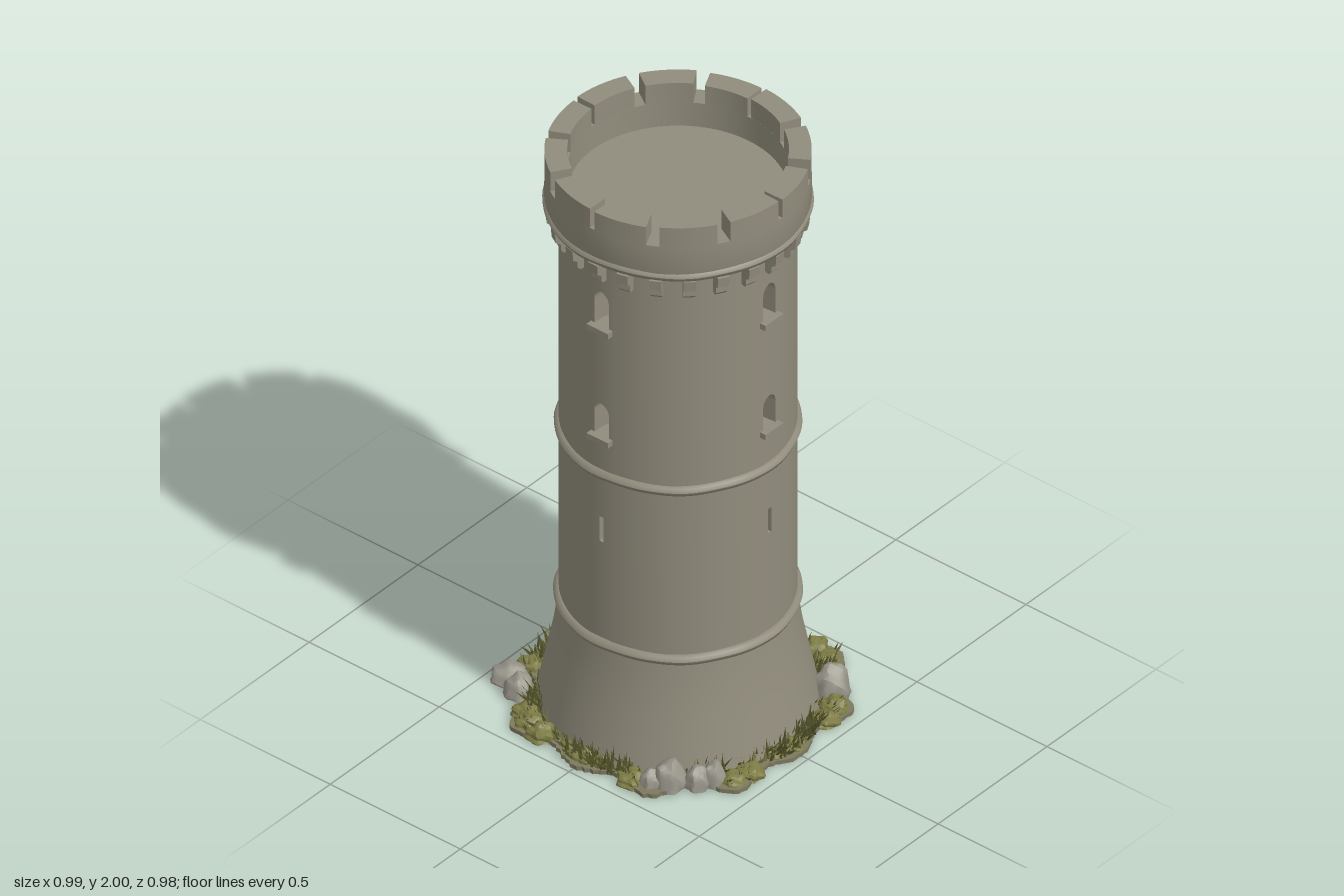
import * as THREE from 'three';
import { mergeGeometries, toCreasedNormals } from 'three/addons/utils/BufferGeometryUtils.js';

const R_OUT = 0.352, R_IN = 0.3, PANEL = 0.12; // wall radii, half angle of a window panel

export function createModel() {
  const tower = new THREE.Group();
  tower.name = 'tower';
  const mat = (name, color) => Object.assign(new THREE.MeshStandardMaterial({ color }), { name });
  const stone = mat('stone', 0x918c7c);
  const rock = mat('rock', 0x98958a);
  const soil = mat('soil', 0x7d795f);
  const moss = mat('moss', 0x7c7b45);
  const darkGrass = mat('darkGrass', 0x53542b);

  let seed = 7;
  const rand = (a = 0, b = 1) => {
    seed = (seed * 16807) % 2147483647;
    return a + (b - a) * (seed / 2147483647);
  };
  const add = (name, geo, material, parent = tower) => {
    const mesh = new THREE.Mesh(geo, material);
    mesh.name = name;
    parent.add(mesh);
    return mesh;
  };
  const group = (name) => {
    const g = new THREE.Group();
    g.name = name;
    tower.add(g);
    return g;
  };
  const lathe = (pts, segs = 72, start = 0, length = Math.PI * 2) => toCreasedNormals(
    new THREE.LatheGeometry(pts.map(([r, y]) => new THREE.Vector2(r, y)), segs, start, length), 0.5);

  // Flared foot
  add('flaredBase', lathe([[R_IN, 0.01], [0.42, 0.01], [0.405, 0.08], [0.386, 0.17], [0.37, 0.25],
    [0.358, 0.33], [R_OUT, 0.39], [R_IN, 0.39], [R_IN, 0.01]]), stone);

  // Hollow shaft: four plain sectors and four bent panels pierced by windows
  const walls = group('walls');
  const y0 = 0.385, y1 = 1.82;
  const windowHole = (w, bottom, spring, top) => {
    const p = new THREE.Path();
    p.moveTo(-w, bottom);
    p.lineTo(w, bottom);
    p.lineTo(w, spring);
    if (top > spring) {
      p.quadraticCurveTo(w, top - 0.008, 0, top);
      p.quadraticCurveTo(-w, top - 0.008, -w, spring);
    } else p.lineTo(-w, spring);
    p.closePath();
    return p;
  };
  const hw = PANEL * R_OUT;
  const panelShape = new THREE.Shape();
  panelShape.moveTo(-hw, y0);
  panelShape.lineTo(hw, y0);
  panelShape.lineTo(hw, y1);
  panelShape.lineTo(-hw, y1);
  panelShape.closePath();
  panelShape.holes.push(windowHole(0.028, 1.55, 1.635, 1.675), windowHole(0.028, 1.15, 1.23, 1.265),
    windowHole(0.008, 0.76, 0.85, 0.85));
  const panel = new THREE.ExtrudeGeometry(panelShape, { depth: R_OUT - R_IN, bevelEnabled: false, curveSegments: 6 });
  const P = panel.attributes.position, N = panel.attributes.normal;
  for (let i = 0; i < P.count; i++) {
    const t = P.getX(i) / R_OUT, r = R_IN + P.getZ(i), nx = N.getX(i), nz = N.getZ(i);
    P.setXYZ(i, Math.sin(t) * r, P.getY(i), Math.cos(t) * r);
    N.setXYZ(i, nx * Math.cos(t) + nz * Math.sin(t), N.getY(i), nz * Math.cos(t) - nx * Math.sin(t));
  }
  for (let q = 0; q < 4; q++) {
    const turn = q * Math.PI / 2;
    add('wallSector', lathe([[R_IN, y0], [R_OUT, y0], [R_OUT, y1], [R_IN, y1], [R_IN, y0]],
      18, turn + PANEL, Math.PI / 2 - 2 * PANEL), stone, walls);
    add('windowPanel', panel, stone, walls).rotation.y = turn;
    for (const y of [1.54, 1.14]) {
      const sill = new THREE.BoxGeometry(0.082, 0.02, 0.045).translate(0, y, 0.349);
      add('windowSill', sill, stone, walls).rotation.y = turn;
    }
  }

  // Slightly worn string courses around the shaft
  const band = (name, r, y, tube) => {
    const g = new THREE.TorusGeometry(r, tube, 8, 96).rotateX(Math.PI / 2);
    const p = g.attributes.position;
    for (let i = 0; i < p.count; i++) {
      const a = Math.atan2(p.getZ(i), p.getX(i));
      const k = 1 + 0.004 * Math.sin(a * 9) * Math.cos(a * 5);
      p.setXYZ(i, p.getX(i) * k, p.getY(i) + 0.002 * Math.sin(a * 7), p.getZ(i) * k);
    }
    g.computeVertexNormals();
    add(name, g.translate(0, y, 0), stone);
  };
  band('lowerBand', 0.351, 0.39, 0.018);
  band('middleBand', 0.349, 1.008, 0.018);
  band('parapetBand', 0.384, 1.82, 0.017);

  // Corbels under the parapet, each a small stepped bracket
  const corbels = group('corbels');
  const profile = new THREE.Shape([[0.34, 1.725], [0.366, 1.725], [0.374, 1.735], [0.374, 1.755],
    [0.39, 1.765], [0.393, 1.8], [0.34, 1.81]].map(([x, y]) => new THREE.Vector2(x, y)));
  const corbel = new THREE.ExtrudeGeometry(profile, { depth: 0.036, bevelEnabled: false }).translate(0, 0, -0.018);
  for (let i = 0; i < 24; i++) add('corbel', corbel, stone, corbels).rotation.y = i * Math.PI / 12;

  // Parapet ring, roof floor and merlons
  add('parapet', lathe([[0.325, 1.82], [0.325, 1.8], [R_OUT, 1.785], [0.386, 1.8], [0.395, 1.825], [0.394, 1.93],
    [0.327, 1.93], [0.325, 1.82]]), stone);
  add('roofFloor', new THREE.CylinderGeometry(0.335, 0.335, 0.02, 64).translate(0, 1.835, 0), stone);
  const merlons = group('merlons');
  const notches = [];
  for (let q = 0; q < 4; q++) {
    [[0, 0.022], [29, 0.052], [60, 0.052]].forEach(([d, half]) => notches.push([(q * 90 + d) * Math.PI / 180, half]));
  }
  notches.forEach(([a, half], i) => {
    const [b, nextHalf] = notches[(i + 1) % 12];
    const from = a + half, to = (i === 11 ? b + Math.PI * 2 : b) - nextHalf;
    const s = new THREE.Shape();
    s.absarc(0, 0, 0.394, from, to, false);
    s.absarc(0, 0, 0.327, to, from, true);
    const g = new THREE.ExtrudeGeometry(s, { depth: i % 3 ? 0.07 : 0.066, bevelEnabled: false, curveSegments: 10 });
    add('merlon', g.rotateX(-Math.PI / 2).translate(0, 1.93, 0), stone, merlons);
  });

  // Scalloped ground
  const groundRadius = (a) => {
    const lobe = Math.round(a / (Math.PI / 6));
    return 0.45 + (lobe % 3 ? 0.072 : 0.028) * Math.cos(6 * a) ** 2;
  };
  const outline = [];
  for (let i = 0; i < 240; i++) {
    const a = i / 240 * Math.PI * 2, r = groundRadius(a) + rand(-0.005, 0.005);
    outline.push(new THREE.Vector2(Math.cos(a) * r, Math.sin(a) * r));
  }
  add('ground', new THREE.ExtrudeGeometry(new THREE.Shape(outline), { depth: 0.014, bevelEnabled: false })
    .rotateX(-Math.PI / 2), soil);

  // Lumpy boulders and moss cushions
  const lump = (x, y, z, sx, sy, sz, rough) => {
    const g = new THREE.IcosahedronGeometry(1, 3), p = g.attributes.position;
    for (let i = 0; i < p.count; i++) {
      const u = p.getX(i), v = p.getY(i), w = p.getZ(i);
      const k = 1 + rough * Math.sin(u * 5 + x * 40) * Math.cos(w * 6 + z * 30) + rough * 0.6 * Math.sin(v * 7 + u * 4);
      // flatten below ground level
      p.setXYZ(i, x + u * k * sx, Math.max(0.003, y + v * k * sy), z + w * k * sz);
    }
    g.computeVertexNormals();
    return g;
  };
  const boulders = [[-0.36, 0.27, 0.05, 0.08], [-0.31, 0.335, 0.04, 0.06], [-0.27, 0.365, 0.035, 0.07],
    [-0.4, 0.23, 0.035, 0.05], [0.29, 0.345, 0.06, 0.095], [-0.26, -0.43, 0.055, 0.04], [-0.3, -0.36, 0.045, 0.06]];
  add('boulders', mergeGeometries(boulders.map(([x, z, r, h]) =>
    toCreasedNormals(lump(x, 0.01, z, r, h, r, 0.1), 0.7))), rock);

  // Moss and grass blades on every lobe
  const cushions = [], light = [], dark = [];
  const nearRock = (x, z) => boulders.some((b) => Math.hypot(b[0] - x, b[1] - z) < b[2]);
  const blade = (list, a, r, h) => {
    const x = Math.cos(a) * r, z = Math.sin(a) * r;
    if (nearRock(x, z)) return;
    const g = new THREE.ConeGeometry(rand(0.004, 0.008), h, 3, 1, true).translate(0, h / 2, 0);
    g.rotateY(rand(0, 6)).rotateZ(rand(-0.9, 0.2)).rotateY(-a + rand(-0.7, 0.7));
    list.push(g.translate(x, rand(0.008, 0.025), z));
  };
  for (let i = 0; i < 12; i++) {
    const a = i * Math.PI / 6, edge = groundRadius(a);
    for (let j = -1; j <= 1; j++) {
      const b = a + j * 0.13, r = edge - 0.055 - Math.abs(j) * 0.012;
      const x = Math.cos(b) * r, z = Math.sin(b) * r;
      if (!nearRock(x, z)) cushions.push(lump(x, 0.008, z, 0.045, rand(0.022, 0.038), 0.045, 0.14));
    }
    for (let n = 0; n < 70; n++) {
      const b = a + rand(-0.25, 0.25);
      blade(n % 5 < 3 ? light : dark, b, rand(0.395, groundRadius(b) - 0.015), rand(0.02, 0.05));
    }
  }
  // Taller dark tufts between and on the lobes
  [0, 42, 78, 96, 128, 165, 180, 222, 255, 275, 315, 345].forEach((deg) => {
    for (let n = 0; n < 55; n++) {
      const b = deg * Math.PI / 180 + rand(-0.12, 0.12);
      blade(dark, b, rand(0.4, 0.455), rand(0.035, 0.07));
    }
  });
  add('mossCushions', mergeGeometries(cushions), moss);
  add('lightGrass', mergeGeometries(light), moss);
  add('darkGrass', mergeGeometries(dark), darkGrass);

  return tower;
}
